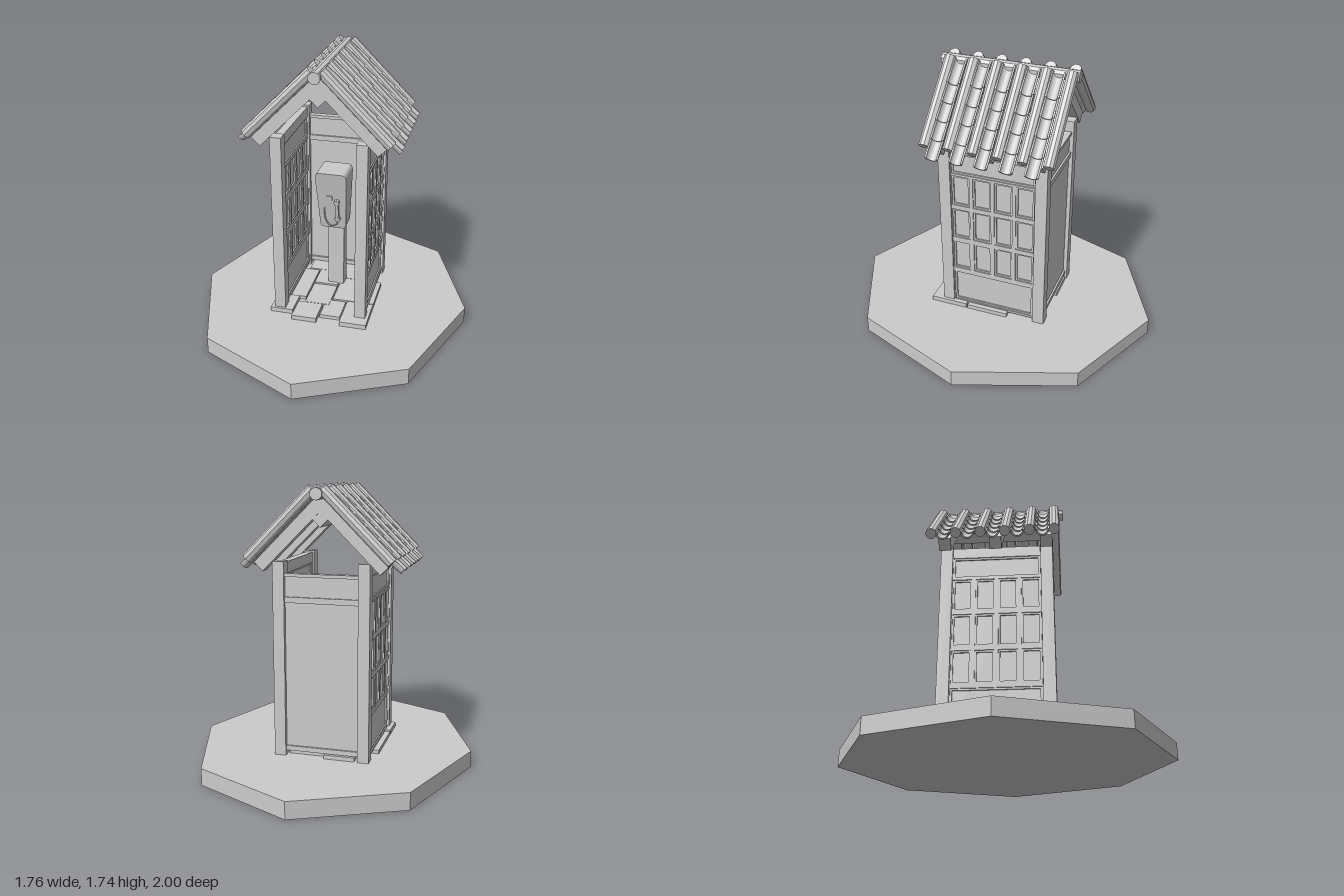
import * as THREE from 'three';

const grey = new THREE.MeshStandardMaterial({ color: 0xcccccc, flatShading: true, side: THREE.DoubleSide });
const CX = -0.015; // centre line of the booth

function add(parent, name, geometry, x = 0, y = 0, z = 0) {
  const mesh = new THREE.Mesh(geometry, grey);
  mesh.name = name;
  mesh.position.set(x, y, z);
  parent.add(mesh);
  return mesh;
}

// Box given by its minimum and maximum corners
function block(parent, name, [x0, x1], [y0, y1], [z0, z1]) {
  return add(parent, name, new THREE.BoxGeometry(x1 - x0, y1 - y0, z1 - z0),
    (x0 + x1) / 2, (y0 + y1) / 2, (z0 + z1) / 2);
}

function rectPath(Type, x0, x1, y0, y1) {
  const p = new Type();
  p.moveTo(x0, y0);
  p.lineTo(x1, y0);
  p.lineTo(x1, y1);
  p.lineTo(x0, y1);
  p.closePath();
  return p;
}

// Lattice frame lying across the depth of the booth, with stepped openings
function latticeGeometry(inset, depth) {
  const shape = rectPath(THREE.Shape, -0.24, 0.30, 0.125, 1.23);
  const hole = (x0, x1, y0, y1) =>
    shape.holes.push(rectPath(THREE.Path, x0 + inset, x1 - inset, y0 + inset, y1 - inset));
  hole(-0.235, 0.295, 1.085, 1.222);
  hole(-0.235, 0.295, 0.14, 0.365);
  for (const y of [0.395, 0.63, 0.865])
    for (let i = 0; i < 4; i++) hole(-0.235 + i * 0.138, -0.12 + i * 0.138, y, y + 0.205);
  const g = new THREE.ExtrudeGeometry(shape, { depth, bevelEnabled: false });
  g.translate(0, 0, -depth / 2);
  return g.rotateY(Math.PI / 2);
}

function buildWalls() {
  const walls = new THREE.Group();
  walls.name = 'walls';
  const outer = latticeGeometry(0, 0.05), inner = latticeGeometry(0.011, 0.036);
  for (const x of [-0.275, 0.245]) {
    for (const z of [0.278, -0.338])
      block(walls, 'cornerPost', [x - 0.035, x + 0.035], [0.105, 1.30], [z - 0.037, z + 0.037]);
    add(walls, 'sideLattice', outer, x);
    add(walls, 'sideLatticeStep', inner, x);
    block(walls, 'sidePanel', [x - 0.009, x + 0.009], [0.13, 1.225], [-0.30, 0.24]);
    block(walls, 'topPlate', [x - 0.025, x + 0.025], [1.23, 1.29], [-0.30, 0.24]);
  }
  block(walls, 'backPanel', [-0.24, 0.21], [0.135, 1.22], [-0.35, -0.33]);
  block(walls, 'backTopRail', [-0.24, 0.21], [1.21, 1.23], [-0.362, -0.318]);
  block(walls, 'backMiddleRail', [-0.24, 0.21], [1.055, 1.09], [-0.362, -0.318]);
  block(walls, 'backBottomRail', [-0.24, 0.21], [0.135, 0.165], [-0.362, -0.318]);
  return walls;
}

// Half-pipe tile, open side up, running along +x
function panTileGeometry(length) {
  const r = 0.042, shape = new THREE.Shape();
  shape.absarc(0, r, r, Math.PI, Math.PI * 2, false);
  shape.absarc(0, r, r - 0.01, Math.PI * 2, Math.PI, true);
  shape.closePath();
  const g = new THREE.ExtrudeGeometry(shape, { depth: length, bevelEnabled: false, curveSegments: 6 });
  return g.rotateY(Math.PI / 2);
}

function buildRoof() {
  const roof = new THREE.Group();
  roof.name = 'roof';
  const pan = panTileGeometry(0.165);
  const cover = new THREE.CylinderGeometry(0.034, 0.034, 0.57, 10).rotateZ(Math.PI / 2);
  for (const s of [1, -1]) {
    // Local x runs down the slope, local y points away from it
    const side = new THREE.Group();
    side.name = 'roofSide';
    side.position.set(CX, 1.70, 0);
    if (s < 0) side.rotation.y = Math.PI;
    const slope = new THREE.Group();
    slope.name = 'slope';
    slope.rotation.z = -Math.PI / 4;
    side.add(slope);
    roof.add(side);
    for (const z of [0.28, -0.03, -0.34])
      block(slope, 'rafter', [0, 0.575], [-0.075, 0], [z * s - 0.037, z * s + 0.037]);
    for (let i = 0; i < 6; i++)
      add(slope, 'coverTile', cover, 0.29, 0.035, (0.33 - i * 0.15) * s);
    for (let i = 0; i < 5; i++)
      for (let k = 0; k < 5; k++) {
        const tile = add(slope, 'panTile', pan, 0.01 + k * 0.118, 0, (0.26 - i * 0.15) * s);
        tile.rotation.z = 0.06;
      }
  }
  const beam = add(roof, 'ridgeBeam', new THREE.BoxGeometry(0.11, 0.11, 0.69), CX, 1.58, -0.03);
  beam.rotation.z = Math.PI / 4;
  add(roof, 'ridgeTile', new THREE.CylinderGeometry(0.036, 0.036, 0.85, 10).rotateX(Math.PI / 2), CX, 1.695, -0.035);
  return roof;
}

// Tapered cabinet on a stand, with a raised handset and cradle
function buildTelephone() {
  const phone = new THREE.Group();
  phone.name = 'telephone';
  block(phone, 'stand', [-0.052, 0.055], [0.125, 0.62], [-0.14, -0.06]);
  const s = new THREE.Shape();
  s.moveTo(-0.06, 0.58);
  s.lineTo(0.06, 0.58);
  s.quadraticCurveTo(0.083, 0.58, 0.085, 0.61);
  s.lineTo(0.1, 0.95);
  s.quadraticCurveTo(0.1, 0.99, 0.07, 0.99);
  s.lineTo(-0.07, 0.99);
  s.quadraticCurveTo(-0.1, 0.99, -0.1, 0.95);
  s.lineTo(-0.085, 0.61);
  s.quadraticCurveTo(-0.083, 0.58, -0.06, 0.58);
  const g = new THREE.ExtrudeGeometry(s, { depth: 0.2, bevelEnabled: false, curveSegments: 4 });
  // Front leans out towards the top
  const p = g.attributes.position;
  for (let i = 0; i < p.count; i++)
    if (p.getZ(i) > 0.1) p.setZ(i, 0.2 - (0.99 - p.getY(i)) * 0.2);
  g.computeVertexNormals();
  add(phone, 'cabinet', g, -0.005, 0, -0.13);
  const face = new THREE.Group();
  face.name = 'handset';
  face.position.set(0, 0.72, 0.016);
  face.rotation.x = 0.2;
  phone.add(face);
  block(face, 'grip', [0.02, 0.04], [-0.06, 0.07], [0, 0.02]);
  for (const y of [-0.06, 0.07])
    add(face, 'earpiece', new THREE.CylinderGeometry(0.019, 0.019, 0.025, 8).rotateX(Math.PI / 2), 0.03, y, 0.008);
  const cord = new THREE.CatmullRomCurve3([[0.03, -0.06], [0.02, -0.11], [-0.02, -0.125], [-0.05, -0.08], [-0.055, 0.02]]
    .map(([x, y]) => new THREE.Vector3(x, y, 0.004)));
  add(face, 'cord', new THREE.TubeGeometry(cord, 16, 0.004, 5), 0, 0, 0);
  block(face, 'slotPlate', [-0.04, 0], [0.07, 0.11], [-0.004, 0.005]);
  return phone;
}

export function createModel() {
  const model = new THREE.Group();
  model.name = 'booth';

  // Eight-sided ground slab
  const ground = new THREE.CylinderGeometry(1, 1, 0.105, 8);
  ground.scale(0.88, 1, 1);
  add(model, 'groundSlab', ground, 0, 0.0525, 0);

  // Paving: x range, z range, top height
  const stones = [
    [-0.335, -0.19, 0.16, 0.33, 0.135], [-0.18, -0.02, 0.22, 0.39, 0.135],
    [-0.01, 0.12, 0.15, 0.33, 0.128], [0.13, 0.30, 0.15, 0.39, 0.135],
    [-0.335, -0.15, -0.2, 0.15, 0.128], [-0.14, 0.02, -0.02, 0.21, 0.13],
    [0.03, 0.30, -0.13, 0.14, 0.132], [-0.14, 0.02, -0.2, -0.03, 0.135],
    [-0.22, -0.03, -0.37, -0.21, 0.13], [-0.02, 0.2, -0.33, -0.14, 0.128],
  ];
  for (const [x0, x1, z0, z1, top] of stones)
    block(model, 'pavingStone', [x0, x1], [0.1, top], [z0, z1]);

  model.add(buildWalls(), buildRoof(), buildTelephone());
  return model;
}
